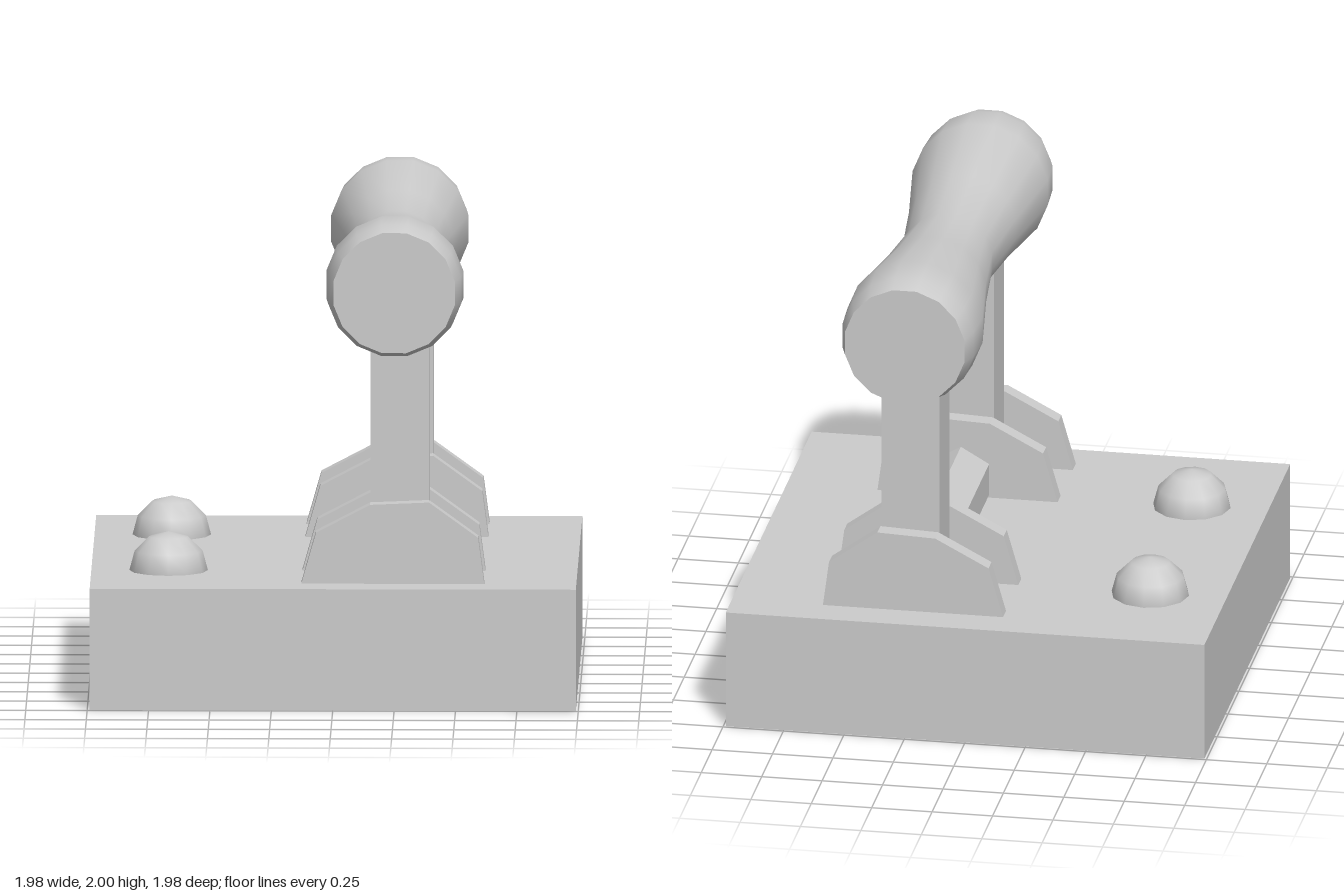
import * as THREE from 'three';

const mat = new THREE.MeshStandardMaterial({ color: 0xcccccc, side: THREE.DoubleSide });
const flat = new THREE.MeshStandardMaterial({ color: 0xcccccc, flatShading: true });

export function createModel() {
  const model = new THREE.Group();
  const add = (name, geometry, material, x, y, z, parent = model) => {
    const mesh = new THREE.Mesh(geometry, material);
    mesh.name = name;
    mesh.position.set(x, y, z);
    parent.add(mesh);
    return mesh;
  };

  // Square base block
  add('base', new THREE.BoxGeometry(1.98, 0.5, 1.98), flat, 0, 0.25, 0);

  // Waisted grip lying along z, 16 sided, with flat ends
  const grip = new THREE.Group();
  grip.name = 'grip';
  grip.position.set(0.25, 1.72, 0);
  model.add(grip);
  const half = [[0.19, 0], [0.225, 0.34], [0.285, 0.75], [0.276, 0.91], [0.252, 0.99]];
  const profile = [...half.slice(1).reverse().map(([r, z]) => [r, -z]), ...half]
    .map(([r, z]) => new THREE.Vector2(r, z));
  const offset = Math.PI / 16;
  add('gripBody', new THREE.LatheGeometry(profile, 16, offset).rotateX(Math.PI / 2), mat, 0, 0, 0, grip);
  for (const s of [1, -1]) {
    const cap = add('gripEnd', new THREE.CircleGeometry(0.252, 16, offset), mat, 0, 0, 0.99 * s, grip);
    if (s < 0) cap.rotation.y = Math.PI;
  }

  // Outline shared by the four bracket plates
  const plate = new THREE.Shape([
    [-0.13, 0.48], [-0.13, 0.5], [-0.07, 0.71], [0.15, 0.825],
    [0.39, 0.835], [0.59, 0.69], [0.615, 0.5], [0.615, 0.48],
  ].map(([x, y]) => new THREE.Vector2(x, y)).reverse());
  const plateGeometry = new THREE.ExtrudeGeometry(plate, { depth: 0.07, bevelEnabled: false })
    .translate(0, 0, -0.035);

  // Posts, plates, pivot pins and studs, mirrored front to back
  for (const s of [1, -1]) {
    add('post', new THREE.BoxGeometry(0.24, 1.15, 0.23), flat, 0.27, 1.025, 0.627 * s);
    for (const z of [0.453, 0.805]) add('bracketPlate', plateGeometry, flat, 0, 0, z * s);
    add('pivotPin', new THREE.CylinderGeometry(0.075, 0.075, 0.1, 6).rotateX(Math.PI / 2),
      flat, 0.27, 0.58, 0.48 * s);
    add('stud', new THREE.SphereGeometry(0.16, 12, 3, 0, Math.PI * 2, 0, Math.PI / 2),
      mat, -0.675, 0.5, 0.48 * s);
  }

  // Hexagonal cross rod, corner upward
  add('crossRod', new THREE.CylinderGeometry(0.135, 0.135, 0.86, 6)
    .rotateX(Math.PI / 2), flat, 0.27, 0.58, 0);

  return model;
}
